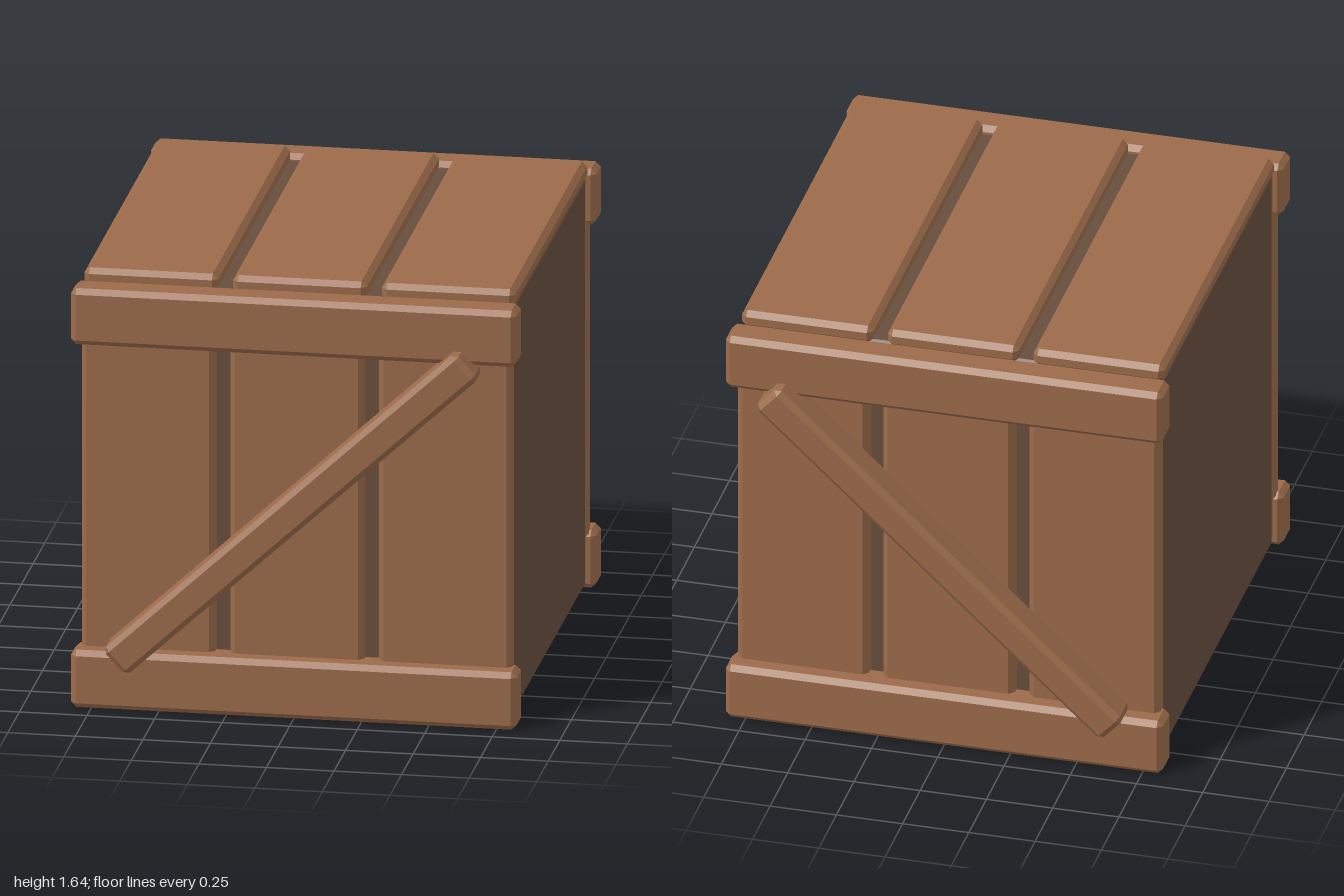
import * as THREE from 'three';
import { ConvexGeometry } from 'three/addons/geometries/ConvexGeometry.js';

const wood = new THREE.MeshStandardMaterial({ color: 0x9b6b4a, flatShading: true });
const darkWood = new THREE.MeshStandardMaterial({ color: 0x684e3d, flatShading: true });

// Box with every edge cut at 45 degrees: three points around each corner
function chamferBox(w, h, d, c = 0.02) {
  const points = [];
  for (const sx of [-1, 1]) for (const sy of [-1, 1]) for (const sz of [-1, 1]) {
    const x = w / 2, y = h / 2, z = d / 2;
    points.push(
      new THREE.Vector3(sx * x, sy * (y - c), sz * (z - c)),
      new THREE.Vector3(sx * (x - c), sy * y, sz * (z - c)),
      new THREE.Vector3(sx * (x - c), sy * (y - c), sz * z)
    );
  }
  return new ConvexGeometry(points);
}

export function createModel() {
  const crate = new THREE.Group();
  crate.name = 'crate';

  function add(name, size, position, material = wood) {
    const mesh = new THREE.Mesh(chamferBox(...size), material);
    mesh.name = name;
    mesh.position.set(...position);
    crate.add(mesh);
    return mesh;
  }

  // Solid inner box
  add('innerBox', [1.58, 1.58, 1.58], [0, 0.8, 0], darkWood);

  // Three lid planks
  for (const x of [-0.55, 0, 0.55]) {
    add('lidPlank', [0.495, 0.07, 1.59], [x, 1.61, 0]);
  }

  // Front and back walls: planks, rails and a diagonal brace
  for (const [side, s] of [['front', 1], ['back', -1]]) {
    for (const x of [-0.55, 0, 0.55]) {
      add(side + 'Plank', [0.495, 1.57, 0.07], [x, 0.805, s * 0.82]);
    }
    add(side + 'BottomRail', [1.65, 0.22, 0.13], [0, 0.11, s * 0.86]);
    add(side + 'TopRail', [1.65, 0.215, 0.13], [0, 1.4975, s * 0.86]);
    const brace = add(side + 'Brace', [1.78, 0.13, 0.145], [0, 0.805, s * 0.9275]);
    brace.rotation.z = 0.747;
  }

  return crate;
}
